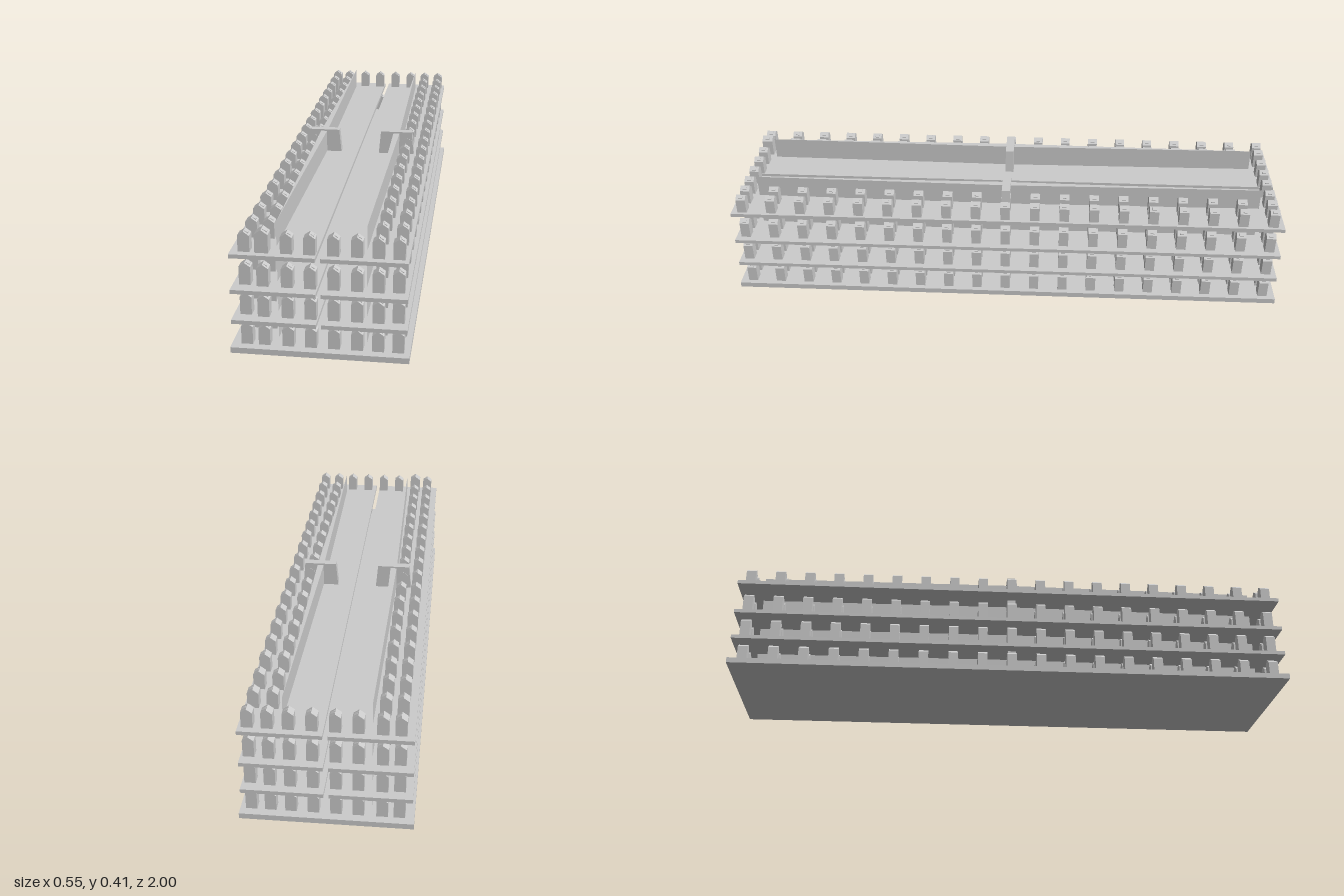
import * as THREE from 'three';
import { mergeGeometries } from 'three/addons/utils/BufferGeometryUtils.js';

const mat = new THREE.MeshStandardMaterial({ color: 0xcccccc, flatShading: true });

function add(group, name, geo, x = 0, y = 0, z = 0) {
  const m = new THREE.Mesh(geo, mat);
  m.name = name;
  m.position.set(x, y, z);
  group.add(m);
  return m;
}

// Prism from an outline, centred along its extrusion
function prism(points, depth) {
  const shape = new THREE.Shape(points.map(([x, y]) => new THREE.Vector2(x, y)));
  const g = new THREE.ExtrudeGeometry(shape, { depth, bevelEnabled: false });
  return g.translate(0, 0, -depth / 2);
}

// Gabled block with a small tab on its right roof slope
function blockGeometry() {
  const w = 0.018, shoulder = 0.058, peak = 0.071;
  const body = prism([[-w, 0], [w, 0], [w, shoulder], [0, peak], [-w, shoulder]], 0.034);
  const tab = prism([[0.002, 0.068], [0.013, 0.06], [0.014, 0.064], [0.003, 0.0705]], 0.014);
  return mergeGeometries([body, tab]);
}

export function createModel() {
  const model = new THREE.Group();
  model.name = 'tieredRack';

  add(model, 'base', new THREE.BoxGeometry(0.548, 0.019, 2), 0, 0.0095, 0);

  // Paired shelves with a narrow gap between the halves
  for (const y of [0.1035, 0.2045, 0.3215]) {
    add(model, 'shelfRight', new THREE.BoxGeometry(0.26, 0.013, 1.99), -0.139, y, 0);
    add(model, 'shelfLeft', new THREE.BoxGeometry(0.26, 0.013, 1.99), 0.137, y, 0);
  }

  // Long walls, thickest at the middle, each with a tapered cross brace
  for (const x of [-0.138, 0.137]) {
    const wall = prism([[0, -0.92], [0.0115, 0], [0, 0.92], [-0.0115, 0]], 0.388);
    wall.rotateX(-Math.PI / 2);
    add(model, 'longWall', wall, x, 0.213, 0);
    const brace = prism([[-0.095, 0.019], [0.095, 0.019], [0.058, 0.413], [-0.058, 0.413]], 0.03);
    add(model, 'crossBrace', brace, x, 0, 0);
  }

  // Blocks: two columns along each side, plus a full row across each end
  const block = blockGeometry();
  const columns = [-0.227, -0.173, -0.099, -0.029, 0.042, 0.113, 0.177, 0.238];
  const tiers = [[0.019, 0.015], [0.12, 0.115], [0.22, 0.217], [0.322, 0.322]];
  tiers.forEach(([outerY, innerY], tier) => {
    const row = new THREE.Group();
    row.name = 'blockTier' + (tier + 1);
    model.add(row);
    for (let i = 0; i < 19; i++) {
      const z = 0.955 - i * 0.1061;
      const atEnd = i === 0 || i === 18;
      columns.forEach((x, c) => {
        if (!atEnd && c > 1 && c < 6) return;
        const outer = c === 0 || c === 7;
        const m = add(row, 'block', block, x, outer ? outerY : innerY, z);
        if (tier === 3 && c === 1 && i === 0) m.scale.set(1.15, 1.12, 1.15);
      });
    }
  });

  return model;
}
